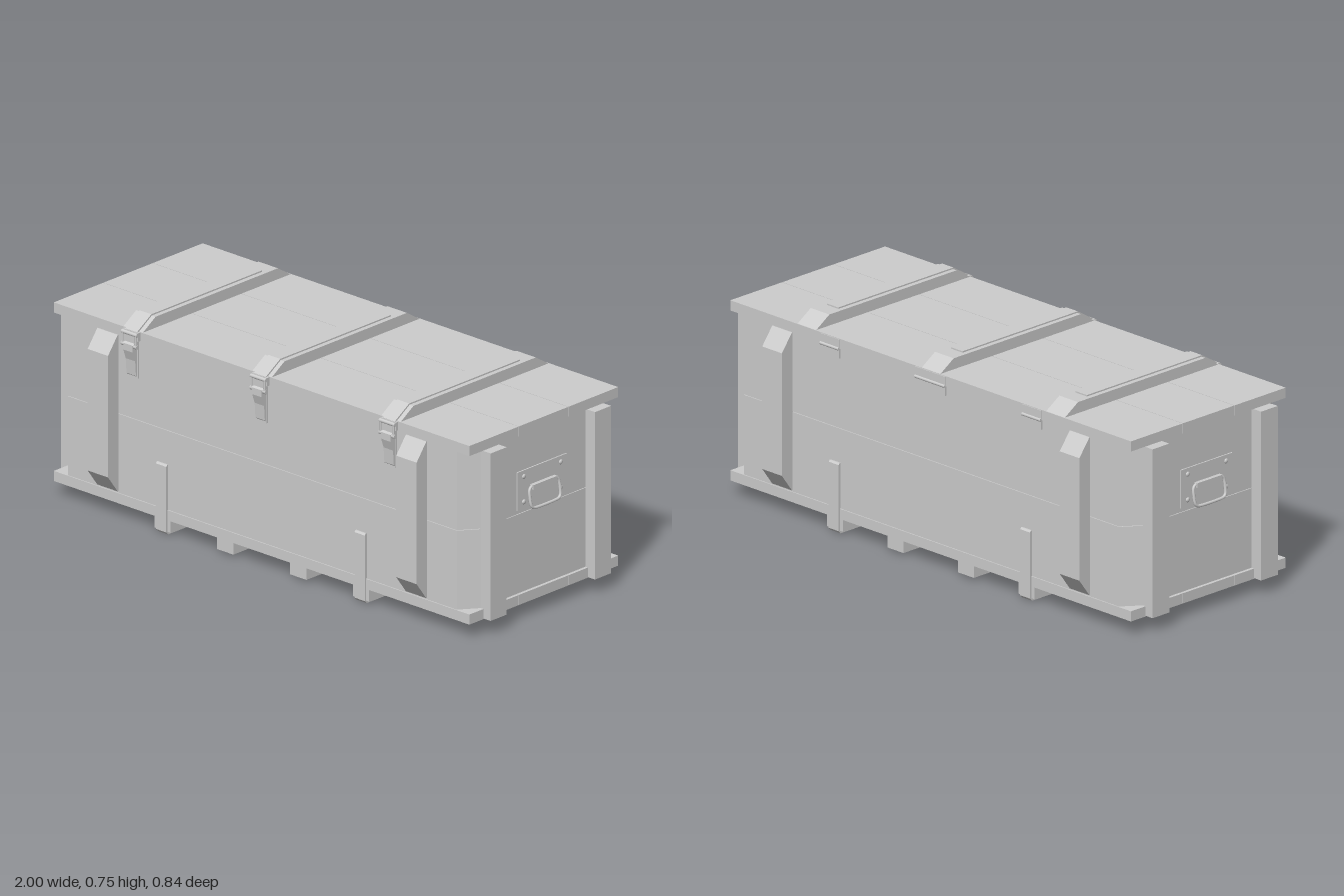
import * as THREE from 'three';

const grey = new THREE.MeshStandardMaterial({ color: 0xcccccc });
grey.name = 'plain grey';

export function createModel() {
  const crate = new THREE.Group();
  crate.name = 'crate';

  const add = (name, geometry, parent = crate) => {
    const mesh = new THREE.Mesh(geometry, grey);
    mesh.name = name;
    parent.add(mesh);
    return mesh;
  };
  // box given by its lower and upper limits on each axis
  const box = (name, [x0, x1], [y0, y1], [z0, z1], parent) =>
    add(name, new THREE.BoxGeometry(x1 - x0, y1 - y0, z1 - z0)
      .translate((x0 + x1) / 2, (y0 + y1) / 2, (z0 + z1) / 2), parent);
  const extrude = (points, depth) => new THREE.ExtrudeGeometry(
    new THREE.Shape(points.map(([a, b]) => new THREE.Vector2(a, b))),
    { depth, bevelEnabled: false });
  // profile in (z, y) swept along x, centred on x
  const sideProfile = (name, points, x, width, parent) =>
    add(name, extrude(points, width).rotateY(-Math.PI / 2).translate(x + width / 2, 0, 0), parent);

  // walls: two stacked courses with bevelled vertical corners
  const outline = [
    [0.955, -0.3], [0.955, 0.3], [0.905, 0.367], [-0.905, 0.367],
    [-0.955, 0.3], [-0.955, -0.3], [-0.905, -0.367], [0.905, -0.367],
  ];
  for (const [name, y0, y1] of [['lowerWall', 0.09, 0.379], ['upperWall', 0.381, 0.67]])
    add(name, extrude(outline, y1 - y0).rotateX(-Math.PI / 2).translate(0, y0, 0));

  // floor and lid, three planks each
  for (const [z0, z1] of [[-0.371, -0.1235], [-0.1215, 0.1235], [0.1255, 0.371]]) {
    box('floorPlank', [-0.967, 0.967], [0.053, 0.09], [z0, z1]);
    box('lidPlank', [-0.967, 0.967], [0.67, 0.707], [z0, z1]);
  }

  for (const sx of [-1, 1]) {
    for (const sz of [-1, 1]) {
      // upright battens on the ends
      box('endBatten', sx > 0 ? [0.95, 1] : [-1, -0.95], [0.055, 0.668],
        sz > 0 ? [0.22, 0.3] : [-0.3, -0.22]);
      // upright battens on the long sides, tapered at both ends
      const batten = [[0.36, 0.095], [0.37, 0.095], [0.418, 0.16], [0.418, 0.605], [0.37, 0.668], [0.36, 0.668]];
      const pts = batten.map(([z, y]) => [z * sz, y]);
      sideProfile('sideBatten', sz > 0 ? pts : pts.reverse(), sx * 0.718, 0.095);
    }

    // skids under the floor, the outer ones wrapped in a metal strap
    box('innerSkid', [sx * 0.17 - 0.038, sx * 0.17 + 0.038], [0.01, 0.054], [-0.37, 0.37]);
    box('outerSkid', [sx * 0.462 - 0.038, sx * 0.462 + 0.038], [0.01, 0.054], [-0.37, 0.37]);
    sideProfile('skidStrap', [
      [-0.377, 0.01], [-0.367, 0], [0.367, 0], [0.377, 0.01], [0.377, 0.25], [0.372, 0.256],
      [0.366, 0.256], [0.366, 0.011], [-0.366, 0.011], [-0.366, 0.256], [-0.372, 0.256], [-0.377, 0.25],
    ], sx * 0.462, 0.048);

    // carrying handle on each end
    const handle = new THREE.Group();
    handle.name = 'endHandle';
    handle.rotation.y = sx > 0 ? 0 : Math.PI;
    crate.add(handle);
    box('handlePlate', [0.953, 0.96], [0.395, 0.535], [-0.123, 0.123], handle);
    for (const z of [-0.092, 0.092]) for (const y of [0.42, 0.513])
      add('rivet', new THREE.SphereGeometry(0.009, 12, 8).scale(0.6, 1, 1).translate(0.96, y, z), handle);
    const corners = [];
    for (const [z, y, a] of [[0.055, 0.45, 0], [-0.055, 0.45, 1], [-0.055, 0.412, 2], [0.055, 0.412, 3]])
      for (let i = 0; i < 4; i++) {
        const t = (a + i / 3) * Math.PI / 2;
        const h = y + 0.019 * Math.sin(t);
        corners.push(new THREE.Vector3(0.966 + (0.47 - h) * 0.16, h, z + 0.019 * Math.cos(t)));
      }
    add('handleBar', new THREE.TubeGeometry(
      new THREE.CatmullRomCurve3(corners, true, 'centripetal'), 64, 0.0055, 8, true), handle);
    box('handleBracket', [0.958, 0.975], [0.458, 0.475], [-0.06, 0.06], handle);
  }

  // lid battens, each with a metal strip, front latch and rear hinge
  for (const x of [-0.6, 0, 0.6]) {
    sideProfile('lidBatten', [[-0.371, 0.705], [0.371, 0.705], [0.305, 0.747], [-0.305, 0.747]], x, 0.09);
    sideProfile('latchStrip', [
      [-0.245, 0.746], [0.304, 0.746], [0.371, 0.703], [0.371, 0.645], [0.379, 0.645],
      [0.379, 0.707], [0.307, 0.752], [-0.245, 0.752],
    ], x, 0.055);
    box('latchPlate', [x - 0.026, x + 0.026], [0.535, 0.67], [0.365, 0.373]);
    box('latchHousing', [x - 0.036, x + 0.036], [0.675, 0.706], [0.37, 0.382]);
    sideProfile('latchLever', [
      [0.372, 0.54], [0.378, 0.545], [0.382, 0.6], [0.394, 0.635], [0.394, 0.66], [0.385, 0.665], [0.372, 0.65],
    ], x, 0.044);
    for (const [y, r] of [[0.698, 0.007], [0.655, 0.008]])
      add('latchPin', new THREE.CylinderGeometry(r, r, 0.072, 12).rotateZ(Math.PI / 2).translate(x, y, 0.385));
    for (const s of [-1, 1])
      add('latchLink', new THREE.CylinderGeometry(0.004, 0.004, 0.045, 8).translate(x + s * 0.031, 0.677, 0.388));
  }
  for (const [x, w] of [[-0.49, 0.09], [0, 0.145], [0.485, 0.09]]) {
    box('hingeLeaf', [x - w / 2, x + w / 2], [0.635, 0.705], [-0.374, -0.366]);
    add('hingePin', new THREE.CylinderGeometry(0.006, 0.006, w, 12)
      .rotateZ(Math.PI / 2).translate(x, 0.67, -0.373));
  }
  return crate;
}
